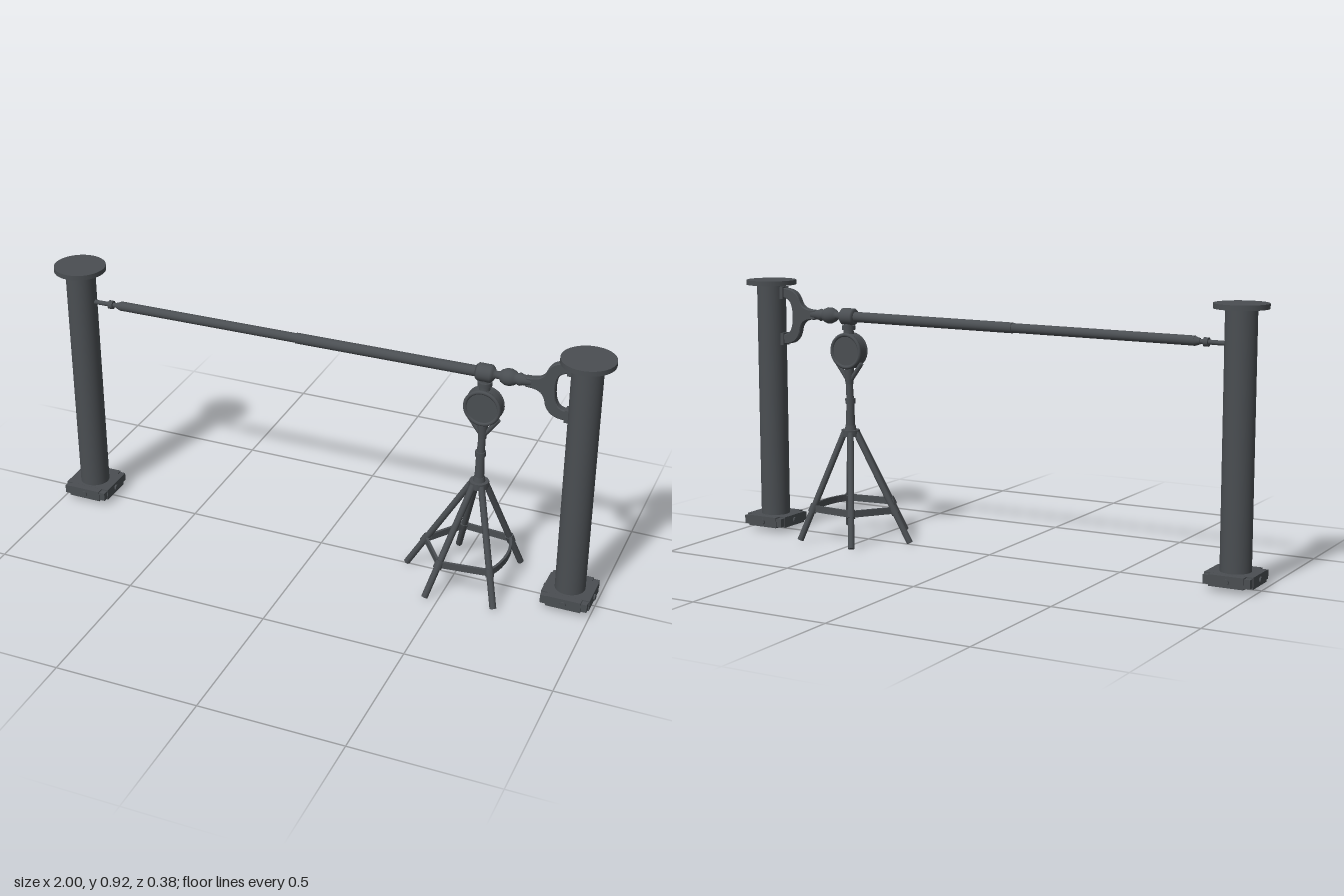
import * as THREE from 'three';

const V = (x, y, z = 0) => new THREE.Vector3(x, y, z);

export function createModel() {
  const root = new THREE.Group();
  root.name = 'postsWithBeamAndStand';
  const iron = new THREE.MeshStandardMaterial({ color: 0x4a4e52 });
  iron.name = 'dark iron';

  const add = (name, geo, parent = root) => {
    const mesh = new THREE.Mesh(geo, iron);
    mesh.name = name;
    parent.add(mesh);
    return mesh;
  };
  const group = (name) => {
    const g = new THREE.Group();
    g.name = name;
    root.add(g);
    return g;
  };
  const box = (name, w, h, d, pos, parent) => {
    const m = add(name, new THREE.BoxGeometry(w, h, d), parent);
    m.position.copy(pos);
    return m;
  };
  // Round bar from a to b
  const rod = (name, a, b, ra, rb = ra, parent = root, sides = 20) => {
    const m = add(name, new THREE.CylinderGeometry(rb, ra, a.distanceTo(b), sides), parent);
    m.position.copy(a).lerp(b, 0.5);
    m.quaternion.setFromUnitVectors(V(0, 1, 0), b.clone().sub(a).normalize());
    return m;
  };
  // Flat upright strip from a to b
  const strip = (name, a, b, h, t, parent) => {
    const m = box(name, t, h, a.distanceTo(b), a.clone().lerp(b, 0.5), parent);
    m.lookAt(b);
    return m;
  };

  // Two posts with round caps and bolted square bases
  for (const s of [-1, 1]) {
    const post = group(s < 0 ? 'rightPost' : 'leftPost');
    post.position.x = s * 0.91;
    rod('column', V(0, 0.05), V(0, 0.905), 0.052, 0.052, post, 40);
    rod('cap', V(0, 0.903), V(0, 0.92), 0.09, 0.09, post, 40);
    box('basePlate', 0.162, 0.03, 0.162, V(0, 0.037), post);
    box('baseBandAcross', 0.168, 0.039, 0.12, V(0, 0.0365), post);
    box('baseBandAlong', 0.12, 0.0385, 0.168, V(0, 0.0365), post);
    for (let i = 0; i < 4; i++) {
      const a = (i * Math.PI) / 2;
      const p = (r) => V(Math.cos(a) * r, 0.036, Math.sin(a) * r);
      rod('baseBolt', p(0.075), p(0.09), 0.011, 0.011, post, 8);
    }
  }

  // Long beam in two telescoping lengths, with an end rod
  const beam = group('beam');
  rod('endRod', V(-0.865, 0.789), V(-0.755, 0.791), 0.008, 0.008, beam);
  rod('endCollar', V(-0.802, 0.79), V(-0.786, 0.79), 0.015, 0.015, beam);
  rod('endTaper', V(-0.772, 0.791), V(-0.752, 0.791), 0.01, 0.017, beam);
  rod('outerBeam', V(-0.755, 0.792), V(-0.08, 0.797), 0.0165, 0.0165, beam);
  rod('innerBeam', V(-0.09, 0.797), V(0.56, 0.802), 0.0185, 0.0185, beam);

  // Turned joint between beam and fork, lathed along x
  const profile = [
    [0.545, 0], [0.545, 0.024], [0.552, 0.03], [0.596, 0.03], [0.604, 0.022],
    [0.61, 0.013], [0.624, 0.013], [0.63, 0.021], [0.645, 0.028], [0.66, 0.029],
    [0.674, 0.024], [0.682, 0.018], [0.692, 0.022], [0.702, 0.018], [0.73, 0.015], [0.75, 0],
  ];
  const joint = add('turnedJoint', new THREE.LatheGeometry(
    profile.map(([x, r]) => new THREE.Vector2(r, x)), 24), beam);
  joint.rotation.z = -Math.PI / 2;
  joint.position.y = 0.802;

  // C-shaped fork gripping the left post
  const fork = new THREE.Shape();
  fork.moveTo(0.715, 0.815);
  fork.bezierCurveTo(0.765, 0.815, 0.775, 0.83, 0.783, 0.852);
  fork.bezierCurveTo(0.795, 0.88, 0.815, 0.89, 0.86, 0.89);
  fork.lineTo(0.86, 0.86);
  fork.bezierCurveTo(0.825, 0.862, 0.808, 0.845, 0.808, 0.792);
  fork.bezierCurveTo(0.808, 0.737, 0.825, 0.72, 0.86, 0.722);
  fork.lineTo(0.86, 0.692);
  fork.bezierCurveTo(0.815, 0.692, 0.795, 0.702, 0.783, 0.735);
  fork.bezierCurveTo(0.778, 0.77, 0.765, 0.787, 0.715, 0.787);
  fork.closePath();
  add('fork', new THREE.ExtrudeGeometry(fork, {
    depth: 0.02, bevelEnabled: true, bevelSize: 0.003, bevelThickness: 0.003,
    bevelSegments: 1, curveSegments: 10,
  })).position.z = -0.01;
  for (const y of [0.875, 0.707]) box('forkPad', 0.018, 0.044, 0.036, V(0.857, y));

  // Round drum hanging below the beam, with raised rims
  const cx = 0.575;
  const drum = group('drum');
  rod('drumBody', V(cx, 0.68, -0.022), V(cx, 0.68, 0.022), 0.063, 0.063, drum, 36);
  for (const z of [-0.02, 0.02]) {
    const rim = add('drumRim', new THREE.TorusGeometry(0.058, 0.007, 8, 36), drum);
    rim.position.set(cx, 0.68, z);
  }
  rod('drumNeck', V(cx, 0.735), V(cx, 0.79), 0.019, 0.015, drum);
  rod('neckCollar', V(cx, 0.755), V(cx, 0.77), 0.024, 0.024, drum);

  // Stand: yoke, turned stem and hub
  const stand = group('stand');
  for (const s of [-1, 1]) {
    rod('yokeArm', V(cx, 0.565), V(cx + s * 0.053, 0.637), 0.008, 0.008, stand, 10);
  }
  rod('yokeSocket', V(cx, 0.56), V(cx, 0.625), 0.014, 0.018, stand);
  rod('upperStem', V(cx - 0.003, 0.49), V(cx, 0.57), 0.014, 0.012, stand);
  rod('stemCollar', V(cx - 0.003, 0.49), V(cx - 0.003, 0.508), 0.018, 0.018, stand);
  rod('lowerStem', V(cx - 0.003, 0.38), V(cx - 0.003, 0.5), 0.017, 0.014, stand);
  rod('stemFoot', V(cx - 0.003, 0.39), V(cx - 0.003, 0.412), 0.022, 0.018, stand);
  rod('hub', V(cx - 0.003, 0.372), V(cx - 0.003, 0.395), 0.034, 0.034, stand, 10);

  // Five splayed legs, with clamps where the braces meet them
  const feet = [[0.69, 0.155], [0.455, 0.18], [0.325, 0], [0.455, -0.18], [0.69, -0.155]];
  const joints = feet.map(([x, z]) => {
    const foot = V(x, 0.006, z);
    const dir = V(x - 0.572, 0, z).normalize();
    const top = V(0.572, 0.385).addScaledVector(dir, 0.024);
    rod('leg', foot, top, 0.0115, 0.0115, stand, 10);
    const at = foot.clone().lerp(top, 0.295);
    const clamp = foot.clone().lerp(top, 0.33);
    rod('legClamp', foot.clone().lerp(top, 0.26), clamp, 0.015, 0.015, stand, 8);
    return at;
  });

  // Straight braces between neighbouring legs, and one bowed brace
  for (let i = 0; i < 4; i++) strip('brace', joints[i], joints[i + 1], 0.024, 0.009, stand);
  const bow = new THREE.QuadraticBezierCurve3(
    joints[4], V(joints[0].x + 0.05, joints[0].y, 0), joints[0]).getPoints(8);
  for (let i = 0; i < 8; i++) strip('bowedBrace', bow[i], bow[i + 1], 0.024, 0.009, stand);

  return root;
}
